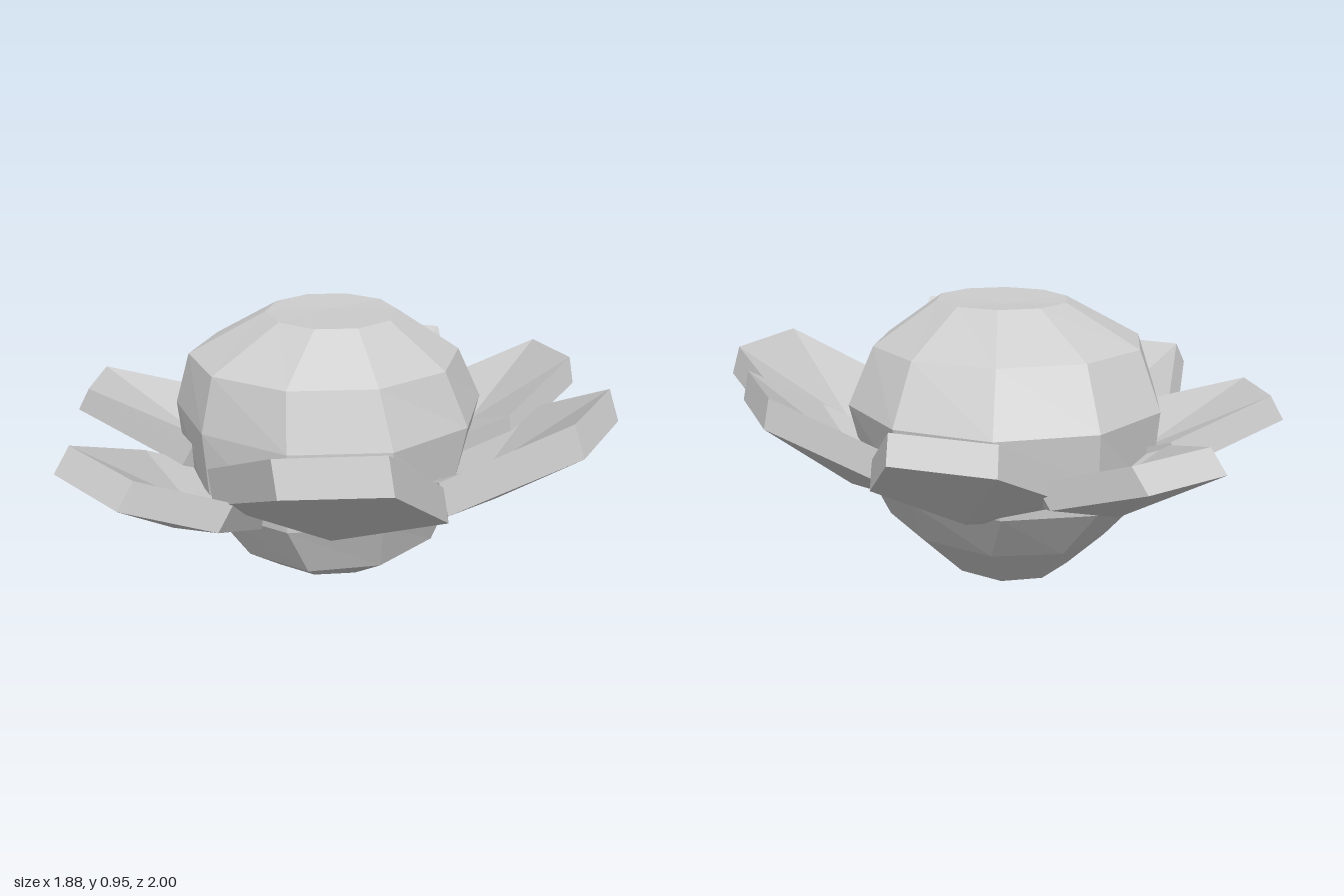
import * as THREE from 'three';

const grey = new THREE.MeshStandardMaterial({ color: 0xcccccc, flatShading: true });
grey.name = 'grey';

// Each petal: underside corners as outer, outer, side, side, then the thickness vector (x, y, z)
const PETALS = [
  [[-0.22, 0.68, 0.95], [0.1, 0.7, 0.995], [0.33, 0.41, 0.58], [-0.42, 0.47, 0.52], [-0.015, 0.11, -0.035]],
  [[0.73, 0.65, 0.65], [0.94, 0.65, 0.33], [0.77, 0.47, 0], [0.33, 0.43, 0.57], [-0.03, 0.105, -0.03]],
  [[-0.92, 0.57, 0.47], [-0.69, 0.56, 0.74], [-0.4, 0.44, 0.66], [-0.73, 0.39, 0.08], [0.05, 0.085, -0.03]],
  [[0.9, 0.65, -0.08], [0.84, 0.63, -0.39], [0.47, 0.44, -0.47], [0.65, 0.48, 0.07], [-0.02, 0.1, 0]],
  [[-0.91, 0.56, -0.43], [-0.94, 0.56, -0.16], [-0.55, 0.42, 0.07], [-0.52, 0.44, -0.5], [0.045, 0.085, 0.015]],
  [[-0.2, 0.54, -1], [-0.48, 0.55, -0.91], [-0.51, 0.43, -0.5], [0.02, 0.43, -0.77], [0.035, 0.075, 0.05]],
  [[0.51, 0.61, -0.78], [0.22, 0.6, -0.935], [-0.04, 0.43, -0.7], [0.53, 0.44, -0.5], [-0.015, 0.085, 0.05]],
];

// Bulb rings from the bottom up: centre x, centre z, radius x, radius z, height, rise along x, rise along z
const RINGS = [
  [-0.01, -0.06, 0, 0, 0.01, 0, 0],
  [-0.01, -0.055, 0.24, 0.275, 0.018, 0.02, 0.06],
  [0.01, -0.035, 0.4, 0.457, 0.16, 0.06, 0],
  [-0.025, -0.07, 0.515, 0.565, 0.34, 0.03, 0],
  [-0.01, -0.08, 0.56, 0.57, 0.61, 0, 0],
  [-0.03, -0.04, 0.485, 0.46, 0.805, 0, 0],
  [-0.005, -0.035, 0.235, 0.255, 0.955, 0, 0],
  [-0.01, -0.1, 0, 0, 0.945, 0, 0],
];

// Cupped six-sided slab; the hidden inner corners mirror the outer ones
function petalGeometry(data) {
  const [outA, outB, sideA, sideB, lift] = data.map((p) => new THREE.Vector3(...p));
  const mid = sideA.clone().lerp(sideB, 0.5);
  const mirror = (p) => mid.clone().multiplyScalar(2).sub(p);
  const under = [outA, outB, sideA, mirror(outA), mirror(outB), sideB];
  const top = under.map((p) => p.clone().add(lift));
  const low = mid.clone();
  low.y -= 0.095;
  const high = low.clone().add(lift);
  const corners = [];
  for (let i = 0; i < 6; i++) {
    const j = (i + 1) % 6;
    corners.push(high, top[i], top[j]);
    corners.push(low, under[j], under[i]);
    corners.push(top[i], under[i], under[j], top[i], under[j], top[j]);
  }
  const geometry = new THREE.BufferGeometry().setFromPoints(corners);
  geometry.computeVertexNormals();
  return geometry;
}

// Ten-sided bulb: a unit lathe whose rings are sized, shifted and tilted
function bulbGeometry() {
  const profile = RINGS.map((ring) => new THREE.Vector2(1, ring[4]));
  const geometry = new THREE.LatheGeometry(profile, 10, Math.PI / 2);
  const p = geometry.attributes.position;
  for (let i = 0; i < p.count; i++) {
    const [cx, cz, rx, rz, y, riseX, riseZ] = RINGS[i % RINGS.length];
    const x = rx * p.getX(i);
    const z = rz * p.getZ(i);
    p.setXYZ(i, cx + x, y + riseX * x + riseZ * z, cz + z);
  }
  const flat = geometry.toNonIndexed();
  flat.computeVertexNormals();
  return flat;
}

export function createModel() {
  const model = new THREE.Group();
  model.name = 'flower';

  const bulb = new THREE.Mesh(bulbGeometry(), grey);
  bulb.name = 'bulb';
  model.add(bulb);

  PETALS.forEach((data, i) => {
    const petal = new THREE.Mesh(petalGeometry(data), grey);
    petal.name = `petal${i + 1}`;
    model.add(petal);
  });
  return model;
}
